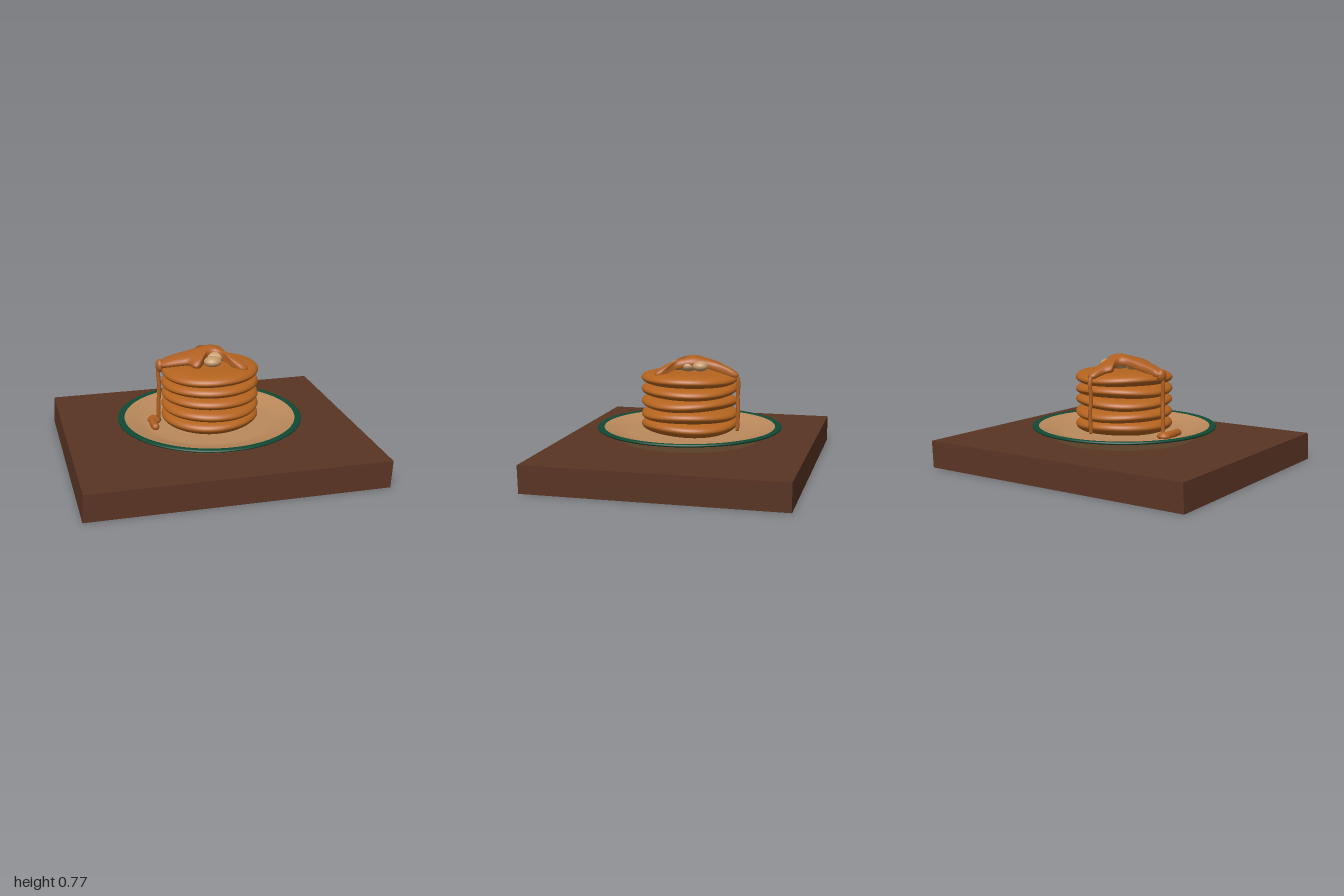
import * as THREE from 'three';

const mat = (name, color) => {
  const m = new THREE.MeshStandardMaterial({ color });
  m.name = name;
  return m;
};

const V2 = (p) => new THREE.Vector2(p[0], p[1]);
const V3 = (p) => new THREE.Vector3(p[0], p[1], p[2]);

export function createModel() {
  const group = new THREE.Group();
  const wood = mat('wood brown', 0x5a3524);
  const glaze = mat('plate tan', 0xbc8a5c);
  const green = mat('rim green', 0x0f4a35);
  const batter = mat('pancake brown', 0xb5641f);
  const syrupMat = mat('syrup amber', 0xb06022);
  const butterMat = mat('butter cream', 0xc49a6a);

  const add = (name, geometry, material, parent = group) => {
    const mesh = new THREE.Mesh(geometry, material);
    mesh.name = name;
    parent.add(mesh);
    return mesh;
  };

  // Thick square-edged table slab, leaning very slightly
  const slab = new THREE.BoxGeometry(1.99, 0.185, 1.7).translate(0, 0.0925, 0);
  const sp = slab.attributes.position;
  for (let i = 0; i < sp.count; i++) sp.setX(i, sp.getX(i) + (sp.getY(i) > 0.1 ? 0.005 : -0.005));
  slab.computeVertexNormals();
  add('tableSlab', slab, wood);

  // Plate: underside, coloured rim and dished inside
  const plate = new THREE.Group();
  plate.name = 'plate';
  group.add(plate);
  const lathe = (name, pts, m) => add(name, new THREE.LatheGeometry(pts.map(V2), 72), m, plate);
  lathe('plateUnderside', [[0, 0.187], [0.45, 0.187], [0.48, 0.192], [0.505, 0.21], [0.535, 0.23],
    [0.58, 0.25], [0.622, 0.262]], glaze);
  lathe('plateRim', [[0.622, 0.262], [0.631, 0.268], [0.631, 0.275], [0.624, 0.28], [0.605, 0.28], [0.587, 0.276]], green);
  lathe('plateInside', [[0.587, 0.276], [0.53, 0.262], [0.47, 0.243], [0.42, 0.235], [0, 0.233]], glaze);

  // Stack of slightly wavy pancakes
  const stack = new THREE.Group();
  stack.name = 'pancakeStack';
  group.add(stack);
  const half = [[0, -0.046], [0.2, -0.046], [0.27, -0.038], [0.31, -0.024], [0.328, -0.008],
    [0.33, 0.004], [0.322, 0.018], [0.3, 0.031], [0.25, 0.041], [0.15, 0.047], [0, 0.049]];
  const curve = new THREE.SplineCurve(half.map(V2)).getPoints(30);
  curve[0].x = curve[30].x = 0;
  [0.296, 0.37, 0.452, 0.533, 0.612].forEach((y, k) => {
    const g = new THREE.LatheGeometry(curve, 56);
    const p = g.attributes.position;
    for (let i = 0; i < p.count; i++) {
      const a = Math.atan2(p.getZ(i), p.getX(i));
      const r = Math.hypot(p.getX(i), p.getZ(i)) / 0.33;
      const low = k === 0 && p.getY(i) < 0 ? 1.3 : 1;
      const wave = 0.006 * Math.sin(2 * a + k * 1.7) + 0.003 * Math.sin(3 * a + k * 2.3);
      p.setY(i, p.getY(i) * low + wave * r * r);
    }
    add('pancake' + (k + 1), g, batter, stack).position.y = y;
  });

  // Soft butter pieces below the syrup
  [[0, 0.69, 0.085, 0.06, 0.035, 0.055], [0.075, 0.7, -0.09, 0.05, 0.035, 0.055],
    [0.04, 0.7, 0.0, 0.075, 0.042, 0.07], [-0.06, 0.685, 0.02, 0.05, 0.03, 0.05]].forEach((b, i) => {
    const m = add('butter' + (i + 1), new THREE.SphereGeometry(1, 24, 16), butterMat);
    m.position.set(b[0], b[1], b[2]);
    m.scale.set(b[3], b[4], b[5]);
  });

  // Syrup sheet: rings scaled from a star outline, sloping down from the middle
  const syrup = new THREE.Group();
  syrup.name = 'syrup';
  group.add(syrup);
  const cx = 0.02, cz = -0.03;
  const outline = new THREE.CatmullRomCurve3([
    [-0.35, -0.085], [-0.2, -0.09], [-0.04, -0.1], [-0.035, -0.17], [-0.055, -0.22], [-0.02, -0.26],
    [0.015, -0.34], [0.055, -0.34], [0.06, -0.2], [0.07, -0.13], [0.1, -0.05], [0.13, 0.07],
    [0.21, 0.14], [0.22, 0.18], [0.18, 0.195], [0.13, 0.155], [0.085, 0.08], [0.03, 0.03],
    [-0.03, 0.04], [-0.07, 0.1], [-0.11, 0.14], [-0.14, 0.13], [-0.165, 0.075], [-0.22, 0.05], [-0.34, -0.015],
  ].map(([x, z]) => V3([x, 0, z])), true, 'centripetal').getPoints(120);
  // Each ring: outline scale, depth below the sloping top
  const rings = [[0.02, 0], [0.2, 0], [0.4, 0], [0.6, 0], [0.76, 0.002], [0.88, 0.008], [0.95, 0.015],
    [0.99, 0.024], [1, 0.033], [0.985, 0.045], [0.94, 0.052], [0.8, 0.05], [0.5, 0.045], [0.02, 0.045]];
  const pos = [], idx = [], n = 120;
  for (const [s, d] of rings) {
    for (let i = 0; i < n; i++) {
      const dx = (outline[i].x - cx) * s, dz = (outline[i].z - cz) * s;
      const r = Math.hypot(dx, dz);
      const drop = dx < 0 ? 0.24 : 0.3;
      const blend = r > 0 ? THREE.MathUtils.lerp(0.32, drop, Math.abs(dx) / r) : drop;
      pos.push(cx + dx, 0.768 - blend * Math.sqrt(r * r + 0.0004) + 0.005 - d, cz + dz);
    }
  }
  for (let k = 0; k < rings.length - 1; k++) {
    for (let i = 0; i < n; i++) {
      const a = k * n + i, b = k * n + (i + 1) % n;
      idx.push(a, b + n, b, a, a + n, b + n);
    }
  }
  for (let i = 1; i < n - 1; i++) {
    const e = (rings.length - 1) * n;
    idx.push(0, i, i + 1, e, e + i + 1, e + i);
  }
  // Outline runs clockwise from above, so flip every face outward
  for (let i = 0; i < idx.length; i += 3) [idx[i + 1], idx[i + 2]] = [idx[i + 2], idx[i + 1]];
  const sheet = new THREE.BufferGeometry();
  sheet.setAttribute('position', new THREE.Float32BufferAttribute(pos, 3));
  sheet.setIndex(idx);
  sheet.computeVertexNormals();
  syrupMat.side = THREE.DoubleSide;
  add('syrupSheet', sheet, syrupMat, syrup);

  // Drips running down the stack
  const drip = (name, pts, r) => {
    const path = new THREE.CatmullRomCurve3(pts.map(V3));
    add(name, new THREE.TubeGeometry(path, 40, r, 12), syrupMat, syrup);
    for (const p of [pts[0], pts[pts.length - 1]]) {
      add(name + 'End', new THREE.SphereGeometry(r, 12, 10), syrupMat, syrup).position.set(...p);
    }
  };
  drip('sideDrip', [[-0.3, 0.66, -0.05], [-0.335, 0.645, -0.05], [-0.346, 0.6, -0.05],
    [-0.342, 0.5, -0.045], [-0.347, 0.38, -0.05], [-0.35, 0.25, -0.05]], 0.014);
  drip('backDrip', [[0.035, 0.65, -0.3], [0.035, 0.64, -0.33], [0.035, 0.6, -0.345],
    [0.03, 0.5, -0.341], [0.035, 0.4, -0.345], [0.033, 0.27, -0.34]], 0.013);
  const knob = add('sideDripShoulder', new THREE.SphereGeometry(1, 20, 14), syrupMat, syrup);
  knob.position.set(-0.335, 0.645, -0.05);
  knob.scale.set(0.028, 0.045, 0.04);

  // Pool on the plate at the foot of the side drip
  drip('pool', [[-0.38, 0.25, -0.09], [-0.395, 0.25, -0.02], [-0.393, 0.25, 0.065]], 0.026);
  const blob = add('poolBlob', new THREE.SphereGeometry(1, 20, 14), syrupMat, syrup);
  blob.position.set(-0.375, 0.247, -0.075);
  blob.scale.set(0.047, 0.028, 0.05);

  return group;
}
